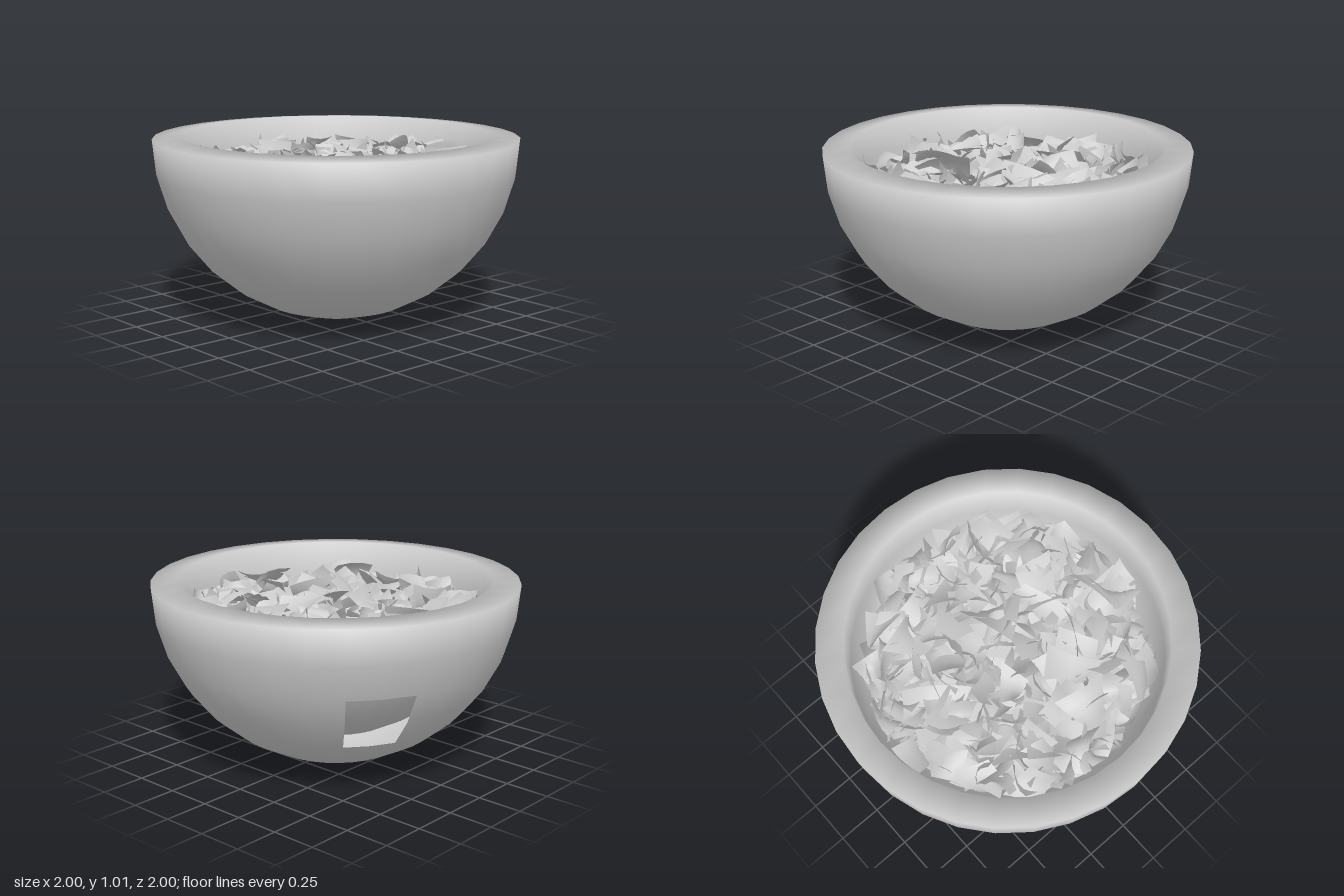
import * as THREE from 'three';
import { mergeGeometries } from 'three/addons/utils/BufferGeometryUtils.js';

const SEGMENTS = 32, ROWS = 8;

// small seeded generator, 0..1
function seeded(seed) {
  return () => {
    seed = (seed * 1664525 + 1013904223) % 4294967296;
    return seed / 4294967296;
  };
}

// Hemispherical shell: outer wall, slightly raised rim, inner wall
function bowlGeometry() {
  const profile = [];
  for (let i = 0; i <= ROWS; i++) {
    const a = (i / ROWS) * Math.PI / 2;
    profile.push(new THREE.Vector2(Math.sin(a), 1 - Math.cos(a)));
  }
  profile.push(new THREE.Vector2(0.85, 1.015));
  for (let i = ROWS - 1; i >= 0; i--) {
    const a = (i / ROWS) * Math.PI / 2;
    profile.push(new THREE.Vector2(0.85 * Math.sin(a), 1 - 0.85 * Math.cos(a)));
  }
  const geometry = new THREE.LatheGeometry(profile, SEGMENTS);

  // open window in the outer wall only, two columns by two rows
  const old = geometry.index.array, kept = [];
  const rows = profile.length - 1;
  for (let col = 0; col < SEGMENTS; col++) {
    for (let row = 0; row < rows; row++) {
      if ((col === 12 || col === 13) && (row === 4 || row === 5)) continue;
      const start = (col * rows + row) * 6;
      for (let k = 0; k < 6; k++) kept.push(old[start + k]);
    }
  }
  geometry.setIndex(kept);
  return geometry;
}

// One torn leaf: an irregular four-cornered sheet, bent and twisted
function leafGeometry(random, size) {
  const spread = (v) => (random() - 0.5) * 2 * v;
  const geometry = new THREE.PlaneGeometry(1, 1, 4, 4);
  const p = geometry.attributes.position;
  const corners = [[-1, -1], [1, -1], [-1, 1], [1, 1]].map(([x, y]) =>
    [size * (0.5 * x + spread(0.28)), size * (0.5 * y + spread(0.28))]);
  const bendU = spread(1.0), bendV = spread(0.8), twist = spread(1.0);
  for (let i = 0; i < p.count; i++) {
    const u = p.getX(i) + 0.5, v = p.getY(i) + 0.5;
    const mix = (k) => (1 - v) * ((1 - u) * corners[0][k] + u * corners[1][k])
      + v * ((1 - u) * corners[2][k] + u * corners[3][k]);
    const a = u - 0.5, b = v - 0.5;
    p.setXYZ(i, mix(0), mix(1), size * (bendU * a * a + bendV * b * b + twist * a * b));
  }
  return geometry;
}

// Leaves in rings of a sunflower spiral, tilted at random, kept inside the bowl
function leavesGeometry() {
  const random = seeded(2024);
  const leaves = [], count = 440;
  const matrix = new THREE.Matrix4(), point = new THREE.Vector3();
  for (let i = 0; i < count; i++) {
    const radius = 0.78 * Math.sqrt((i + 0.5) / count);
    const angle = i * 2.39996;
    for (let attempt = 0; attempt < 25; attempt++) {
      const leaf = leafGeometry(random, 0.15 + 0.11 * random());
      const tilt = new THREE.Euler(
        -Math.PI / 2 + (random() - 0.5) * 2.1, (random() - 0.5) * 2.1, random() * 6.28, 'XYZ');
      const turn = new THREE.Quaternion().setFromAxisAngle(new THREE.Vector3(0, 1, 0), random() * 6.28);
      const rotation = turn.multiply(new THREE.Quaternion().setFromEuler(tilt));
      const y = 0.67 + 0.2 * random();
      matrix.compose(
        new THREE.Vector3(Math.cos(angle) * radius, y, Math.sin(angle) * radius),
        rotation, new THREE.Vector3(1, 1, 1));
      leaf.applyMatrix4(matrix);
      const p = leaf.attributes.position;
      let fits = true;
      for (let k = 0; k < p.count && fits; k++) {
        point.fromBufferAttribute(p, k);
        fits = point.y < 0.94 && Math.hypot(point.x, point.y - 1, point.z) < 0.83;
      }
      if (!fits) continue;
      leaf.computeVertexNormals();
      leaves.push(leaf);
      break;
    }
  }
  return mergeGeometries(leaves);
}

export function createModel() {
  const model = new THREE.Group();
  model.name = 'saladBowl';
  const material = new THREE.MeshStandardMaterial({ color: 0xcccccc, side: THREE.DoubleSide });

  const bowl = new THREE.Mesh(bowlGeometry(), material);
  bowl.name = 'bowl';

  const leaves = new THREE.Mesh(leavesGeometry(), material);
  leaves.name = 'leaves';

  model.add(bowl, leaves);
  return model;
}
